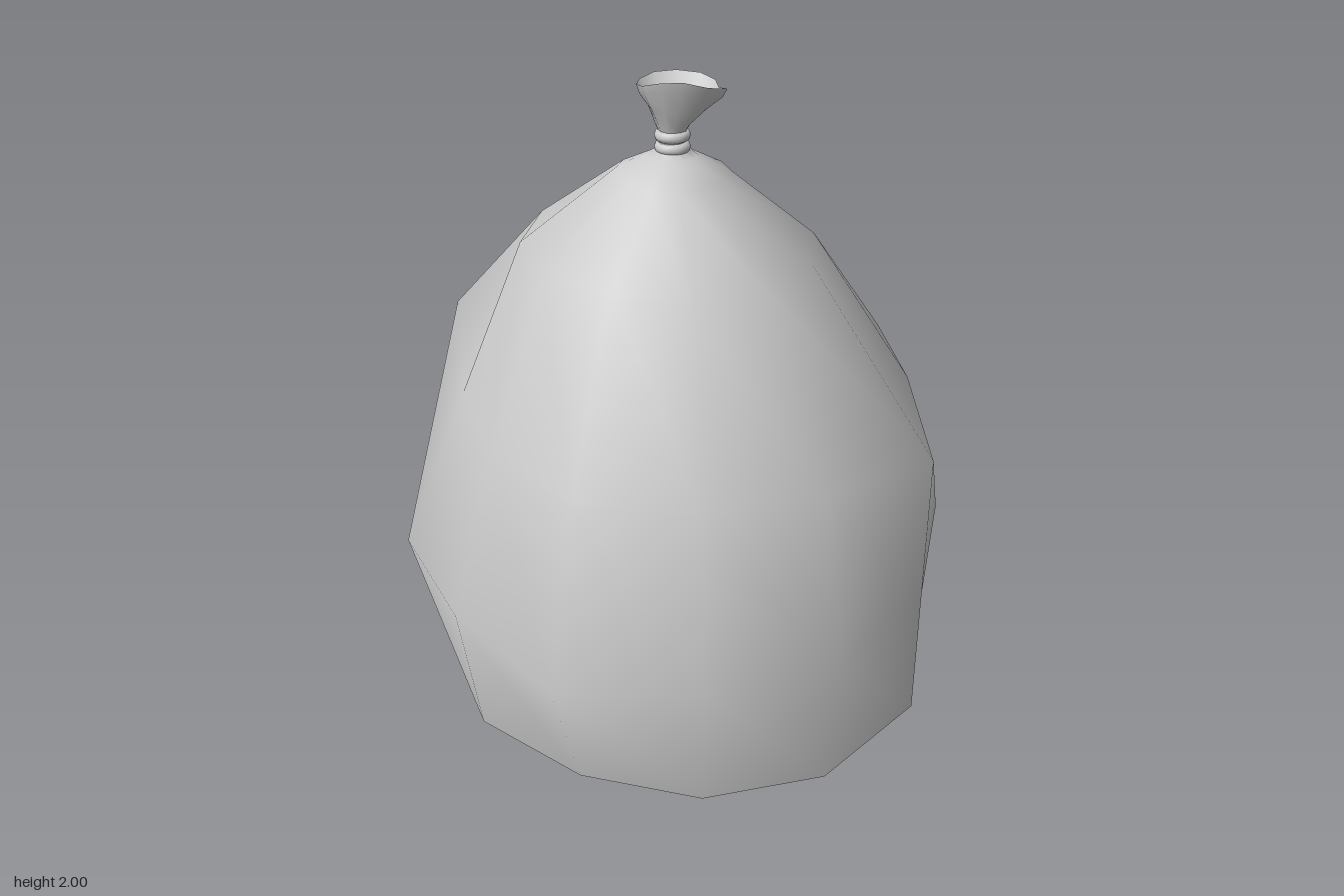
import * as THREE from 'three';

const SIDES = 12;
const material = new THREE.MeshStandardMaterial({ color: 0xcccccc, side: THREE.DoubleSide });

// Skin rings of 12 points, listed from bottom to top, with shared smooth normals.
function loft(name, rings) {
  const index = [];
  for (let r = 0; r < rings.length - 1; r++) {
    for (let i = 0; i < SIDES; i++) {
      const a = r * SIDES + i, b = r * SIDES + (i + 1) % SIDES;
      index.push(a, a + SIDES, b + SIDES, a, b + SIDES, b);
    }
  }
  const geometry = new THREE.BufferGeometry();
  geometry.setAttribute('position', new THREE.Float32BufferAttribute(rings.flat(2), 3));
  geometry.setIndex(index);
  geometry.computeVertexNormals();
  const mesh = new THREE.Mesh(geometry, material);
  mesh.name = name;
  return mesh;
}

// Ring from spoke radii; angles run from +x towards +z, each nudged by a few degrees.
const NUDGE = [-1, 1, 1, -3, -6, -6, -3, -1, 0, 0, 1, 1];
function ring(y, radius, cx = 0, cz = 0, lift = {}) {
  return NUDGE.map((nudge, i) => {
    const angle = THREE.MathUtils.degToRad(i * 30 + nudge);
    const rad = Array.isArray(radius) ? radius[i] : radius;
    return [cx + rad * Math.cos(angle), y + (lift[i] ?? 0), cz + rad * Math.sin(angle)];
  });
}

export function createModel() {
  const group = new THREE.Group();
  group.name = 'tiedSack';

  // Bulging body, open underneath, gathered into the neck
  group.add(loft('sackBody', [
    ring(0.03, [0.75, 0.86, 0.86, 0.83, 0.78, 0.77, 0.75, 0.74, 0.75, 0.76, 0.78, 0.78], 0, 0, { 0: -0.03, 11: 0.05 }),
    ring(0.47, [0.87, 0.86, 0.90, 0.89, 0.95, 0.84, 0.87, 0.93, 0.90, 0.89, 0.78, 0.95], 0, 0, { 0: 0.02, 6: -0.02 }),
    ring(0.98, [0.74, 0.86, 0.80, 0.77, 0.77, 0.68, 0.66, 0.80, 0.74, 0.73, 0.77, 0.81], 0, 0, { 1: -0.04, 7: 0.12, 8: 0.12 }),
    ring(1.48, [0.42, 0.45, 0.49, 0.48, 0.48, 0.47, 0.46, 0.46, 0.41, 0.37, 0.43, 0.43], 0, 0, { 9: 0.02, 10: -0.13, 11: -0.08 }),
    ring(1.71, 0.165, -0.005, 0.07, { 5: 0.01, 6: 0.02, 7: 0.01 }),
    ring(1.755, 0.075, -0.01, 0.05),
    ring(1.775, 0.042, -0.01, 0.05),
    ring(1.83, 0.04, -0.01, 0.05),
  ]));

  // Two turns of cord around the neck
  for (const y of [1.78, 1.815]) {
    const cord = new THREE.Mesh(new THREE.TorusGeometry(0.035, 0.018, 10, 24), material);
    cord.name = 'neckCord';
    cord.rotation.x = Math.PI / 2;
    cord.position.set(-0.008, y, 0.05);
    group.add(cord);
  }

  // Flared, uneven tuft above the cord
  const rim = [0.115, 0.155, 0.155, 0.135, 0.13, 0.13, 0.12, 0.125, 0.13, 0.13, 0.135, 0.125];
  const wave = { 0: -0.025, 1: -0.005, 2: 0.015, 3: 0.03, 4: 0.025, 5: 0.005, 6: -0.01, 7: -0.015, 8: -0.01, 9: -0.01, 10: -0.015, 11: -0.02 };
  group.add(loft('sackTuft', [
    ring(1.825, 0.04, -0.008, 0.05),
    ring(1.85, 0.052, -0.006, 0.048),
    ring(1.90, rim.map(r => r * 0.64), 0, 0.04),
    ring(1.945, rim.map(r => r * 0.92), 0.008, 0.033, wave),
    ring(1.97, rim, 0.01, 0.03, wave),
  ]));

  // Hollow inside the tuft, closed where the neck is pinched
  group.add(loft('tuftHollow', [
    ring(1.97, rim, 0.01, 0.03, wave),
    ring(1.94, rim.map(r => r * 0.84), 0.008, 0.033, wave),
    ring(1.90, rim.map(r => r * 0.56), 0, 0.04),
    ring(1.88, 0, 0, 0.04),
  ]));
  return group;
}
